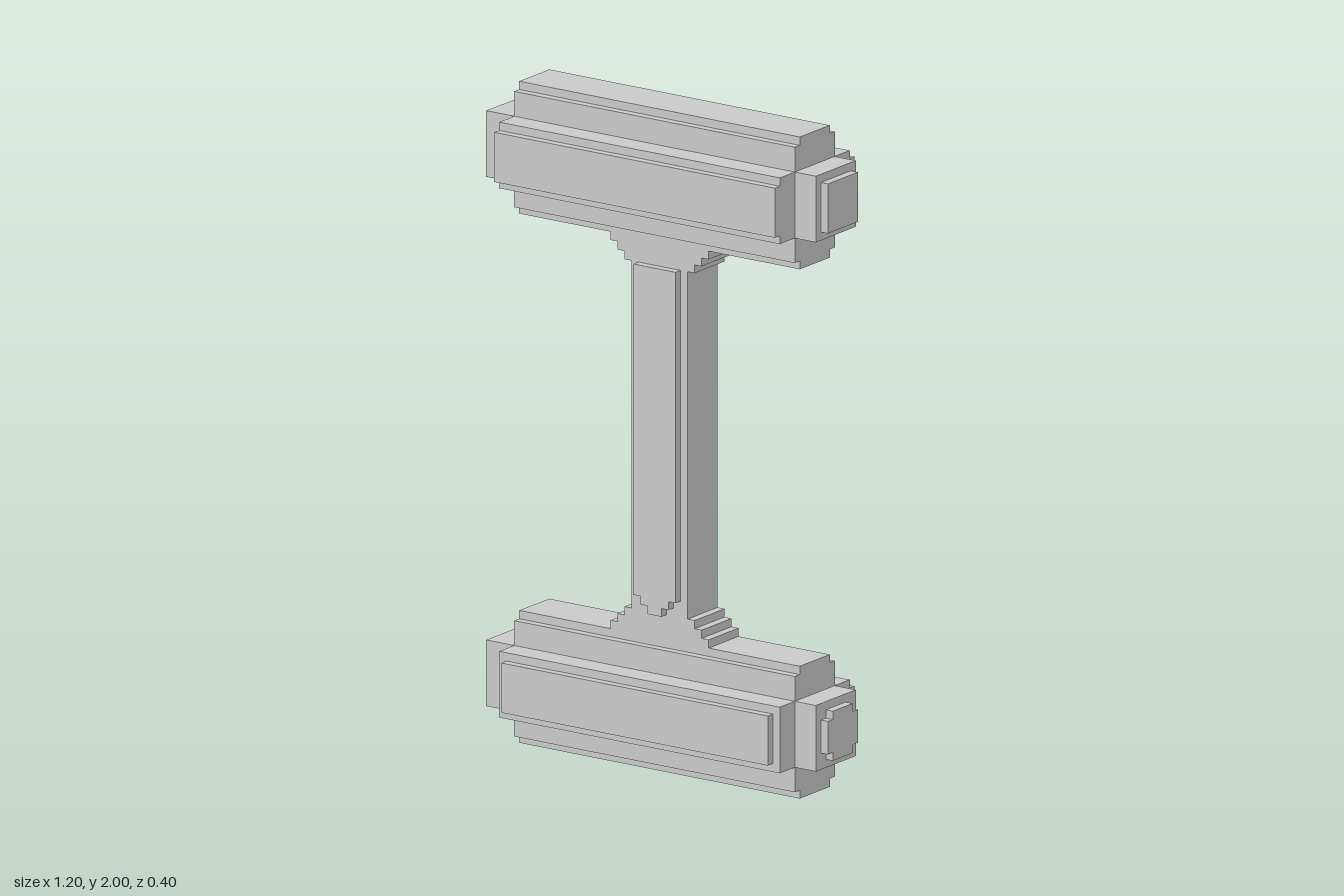
import * as THREE from 'three';

const material = new THREE.MeshStandardMaterial({ color: 0xcccccc, flatShading: true });

// Solid from a closed outline, extruded along z and centred on z = 0
function extrude(points, depth) {
  const shape = new THREE.Shape(points.map(([x, y]) => new THREE.Vector2(x, y)));
  return new THREE.ExtrudeGeometry(shape, { depth, bevelEnabled: false }).translate(0, 0, -depth / 2);
}

// Mirror the right half of an outline (bottom to top) to the left
const mirrorX = (half) => [...half, ...half.slice().reverse().map(([x, y]) => [-x, y])];

// Mirror a quarter outline (side to top) into a full one
const mirrorXY = (quarter) => mirrorX([...quarter.slice().reverse().map(([x, y]) => [x, -y]), ...quarter]);

function add(parent, name, geometry, x = 0, y = 0, z = 0) {
  const mesh = new THREE.Mesh(geometry, material);
  mesh.name = name;
  mesh.position.set(x, y, z);
  parent.add(mesh);
  return mesh;
}

// Cross-shaped section of the bars, with stepped corners
const barSection = mirrorXY([
  [0.2, 0.075], [0.175, 0.075], [0.175, 0.1], [0.1, 0.1],
  [0.1, 0.175], [0.075, 0.175], [0.075, 0.2],
]);
// Same section with the front ridge cut back to seat a separate panel
const panelledSection = barSection.filter(([z, y]) => !(z > 0.17 && Math.abs(y) < 0.08));
const knobSection = mirrorXY([[0.075, 0.05], [0.05, 0.05], [0.05, 0.075]]);

// A section drawn in (z, y), run along x
const alongX = (section, length) => extrude(section, length).rotateY(-Math.PI / 2);

function makeBar(name, section) {
  const bar = new THREE.Group();
  bar.name = name;
  add(bar, 'barBody', alongX(section, 1));
  add(bar, 'rightEndBlock', new THREE.BoxGeometry(0.1, 0.2, 0.2), -0.55);
  add(bar, 'leftEndBlock', new THREE.BoxGeometry(0.075, 0.2, 0.2), 0.5375);
  return bar;
}

export function createModel() {
  const model = new THREE.Group();
  model.name = 'doubleBarPost';

  // Upper bar with a square end plate
  const upper = makeBar('upperBar', barSection);
  upper.position.y = 1.8;
  add(upper, 'endPlate', new THREE.BoxGeometry(0.025, 0.15, 0.15), 0.5875);

  // Lower bar with a shorter front panel and a notched end plate
  const lower = makeBar('lowerBar', panelledSection);
  lower.position.y = 0.2;
  add(lower, 'frontPanel', new THREE.BoxGeometry(0.95, 0.15, 0.025), 0, 0, 0.1875);
  add(lower, 'endPlate', alongX(knobSection, 0.025), 0.5875);

  // Post web, flaring in steps into both bars
  const flare = [];
  for (let i = 0; i < 3; i++) {
    const w = 0.175 - i * 0.025, y = 0.4 + i * 0.025;
    flare.push([w, y], [w, y + 0.025]);
  }
  flare.push([0.1, 0.475]);
  const web = mirrorX([...flare, ...flare.slice().reverse().map(([x, y]) => [x, 2 - y])]);
  add(model, 'post', extrude(web, 0.15));

  // Front and back post plates, stepping to a point at the bottom
  const plate = mirrorX([
    [0.025, 0.475], [0.025, 0.5], [0.05, 0.5], [0.05, 0.525], [0.075, 0.525], [0.075, 1.525],
  ]);
  for (const side of [1, -1]) {
    add(model, side > 0 ? 'frontPostPlate' : 'backPostPlate', extrude(plate, 0.025), 0, 0, side * 0.0875);
  }

  model.add(upper, lower);
  return model;
}
